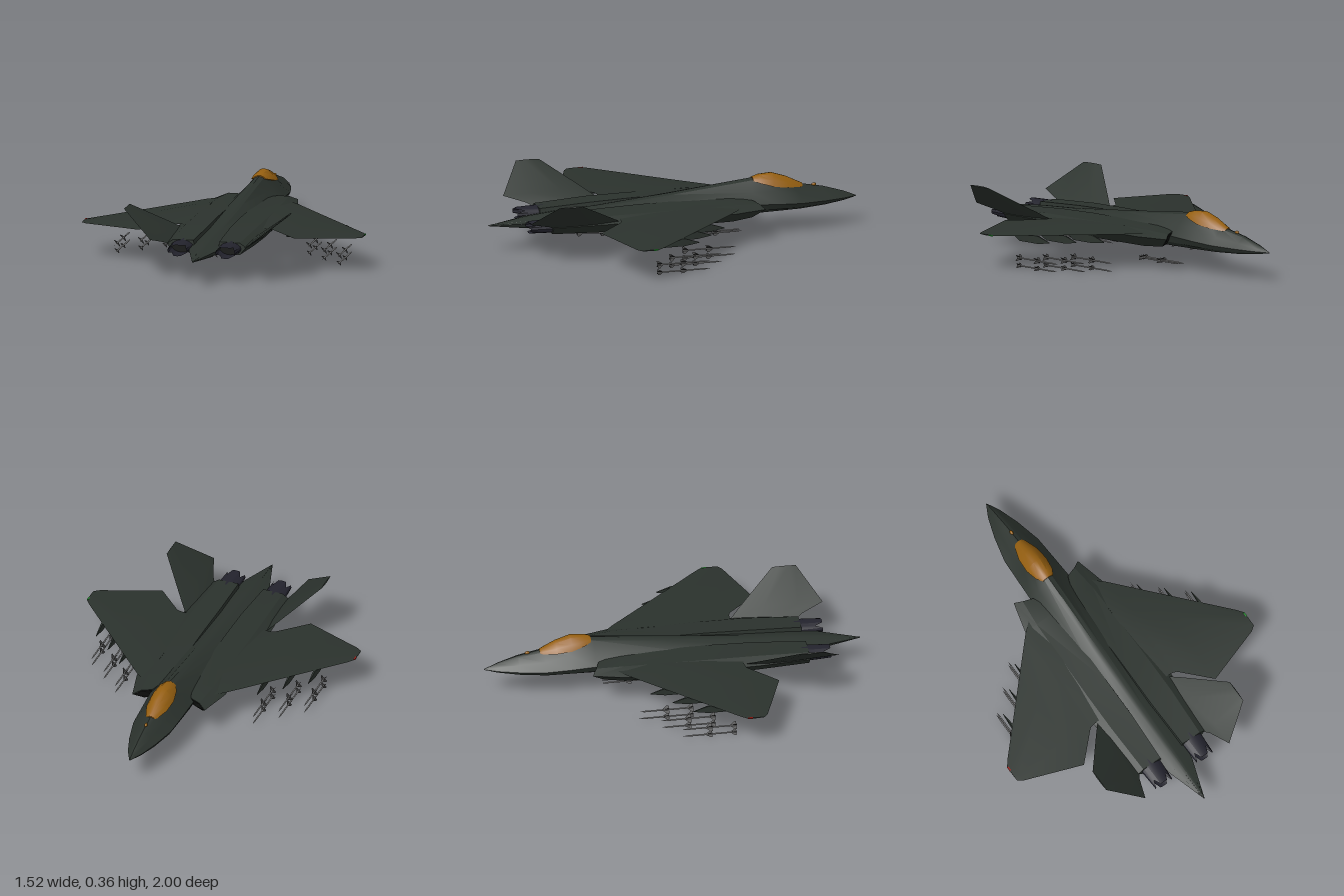
import * as THREE from 'three';
import { toCreasedNormals } from 'three/addons/utils/BufferGeometryUtils.js';

const mat = (color, side = THREE.FrontSide) => new THREE.MeshStandardMaterial({ color, side });
const skin = mat(0x2b322d);
const dark = mat(0x111311, THREE.DoubleSide);
const nozzleMat = mat(0x23232d, THREE.DoubleSide);
const amber = mat(0x955f10);
const steel = mat(0x8c8c8c);
const finMat = mat(0x333333, THREE.DoubleSide);

function add(parent, name, geometry, material, x = 0, y = 0, z = 0) {
  const m = new THREE.Mesh(geometry, material);
  m.name = name;
  m.position.set(x, y, z);
  parent.add(m);
  return m;
}

// Closed skin over a row of equal-length rings; winding is fixed by signed volume.
function loft(rings, crease = 0.45) {
  const n = rings[0].length, pos = rings.flat(2), idx = [];
  for (let r = 0; r < rings.length - 1; r++)
    for (let i = 0; i < n; i++) {
      const a = r * n + i, b = r * n + (i + 1) % n;
      idx.push(a, b, b + n, a, b + n, a + n);
    }
  const last = (rings.length - 1) * n;
  for (let i = 1; i < n - 1; i++) idx.push(0, i + 1, i, last, last + i, last + i + 1);
  const v = (i) => new THREE.Vector3().fromArray(pos, i * 3);
  let vol = 0;
  for (let i = 0; i < idx.length; i += 3) vol += v(idx[i]).dot(v(idx[i + 1]).cross(v(idx[i + 2])));
  if (vol < 0) idx.reverse();
  const g = new THREE.BufferGeometry();
  g.setAttribute('position', new THREE.Float32BufferAttribute(pos, 3));
  g.setIndex(idx);
  return toCreasedNormals(g, crease);
}

// Full ring at z from its +x half, listed bottom centre to top centre.
const mirrorRing = (half, z) => [
  ...half.map(([x, y]) => [x, y, z]),
  ...half.slice(1, -1).reverse().map(([x, y]) => [-x, y, z]),
];

// Wing or fin from stations [x, y, zFront, zBack, thickness] with a thickness direction.
function panel(side, stations, nx, ny) {
  const outline = [[0, 0], [0.3, 1], [0.7, 0.8], [1, 0.08], [0.7, -0.8], [0.3, -1]];
  return loft(stations.map(([x, y, z0, z1, t]) => outline.map(([u, h]) =>
    [side * (x + nx * h * t / 2), y + ny * h * t / 2, z0 + (z1 - z0) * u])), 0.3);
}

// Slender missile pointing to -z, origin at its tail.
function missile(name, x, y, z, arm, tilt = 0, length = 0.29) {
  const g = new THREE.Group();
  g.name = name;
  const r = 0.004;
  add(g, 'missileBody', new THREE.CylinderGeometry(r, r, length - 0.03, 10).rotateX(-Math.PI / 2), steel, 0, 0, -(length - 0.03) / 2);
  add(g, 'missileNose', new THREE.ConeGeometry(r, 0.03, 10).rotateX(-Math.PI / 2), steel, 0, 0, -length + 0.015);
  const fin = (root, chord) => new THREE.ShapeGeometry(new THREE.Shape([
    new THREE.Vector2(0, 0), new THREE.Vector2(arm, 0),
    new THREE.Vector2(arm, chord * 0.3), new THREE.Vector2(0, chord),
  ])).rotateX(-Math.PI / 2).translate(0, 0, -root);
  for (const [root, chord] of [[0.002, 0.035], [0.13, 0.04]])
    for (let k = 0; k < 4; k++) {
      const f = add(g, 'missileFin', fin(root, chord), finMat);
      f.rotation.z = Math.PI / 4 + k * Math.PI / 2;
    }
  g.position.set(x, y, z);
  g.rotation.x = tilt;
  return g;
}

export function createModel() {
  const model = new THREE.Group();
  model.name = 'jet';

  // Chined fuselage: z, half width, chine height, top, bottom
  const body = [
    [-1, 0.002, 0.155, 0.157, 0.153], [-0.93, 0.038, 0.158, 0.187, 0.143],
    [-0.82, 0.075, 0.162, 0.222, 0.133], [-0.68, 0.108, 0.168, 0.25, 0.128],
    [-0.55, 0.115, 0.175, 0.312, 0.126], [-0.42, 0.121, 0.185, 0.299, 0.125],
    [0, 0.12, 0.188, 0.253, 0.123], [0.4, 0.1, 0.185, 0.213, 0.125],
    [0.62, 0.085, 0.178, 0.2, 0.128], [0.78, 0.074, 0.166, 0.185, 0.132],
    [1, 0.002, 0.151, 0.153, 0.149],
  ];
  add(model, 'fuselage', loft(body.map(([z, w, e, t, b]) => mirrorRing([
    [0, b], [w * 0.6, b], [w * 0.88, b + (e - b) * 0.4], [w, e],
    [w * 0.6, e + (t - e) * 0.45], [w * 0.2, e + (t - e) * 0.92], [0, t],
  ], z))), skin);

  // Canopy: z, half width, sill height, top
  const canopy = [
    [-0.705, 0.022, 0.236, 0.249], [-0.69, 0.034, 0.237, 0.256], [-0.62, 0.058, 0.245, 0.292],
    [-0.54, 0.064, 0.257, 0.319], [-0.47, 0.052, 0.277, 0.314], [-0.435, 0.033, 0.287, 0.304],
  ];
  add(model, 'canopy', loft(canopy.map(([z, w, s, t]) => mirrorRing([
    [0, s - 0.01], [w, s], [w * 0.76, s + (t - s) * 0.5], [w * 0.32, s + (t - s) * 0.93], [0, t],
  ], z)), 0.6), amber);
  add(model, 'noseSensor', new THREE.SphereGeometry(0.009, 12, 8).scale(0.9, 1, 1.5), amber, 0, 0.235, -0.77);
  add(model, 'bellySensor', new THREE.ConeGeometry(0.018, 0.03, 8).rotateX(Math.PI).scale(1, 1, 2), skin, -0.1, 0.117, 0);

  for (const s of [1, -1]) {
    const side = new THREE.Group();
    side.name = s > 0 ? 'leftSide' : 'rightSide';
    model.add(side);

    // Intake and engine nacelle with a raked mouth
    const ring = (z, pts) => pts.map(([x, y, dz = 0]) => [s * x, y, z + dz]);
    const mouth = [[0.1, 0.135, 0.08], [0.165, 0.133, 0.05], [0.205, 0.183, -0.015], [0.165, 0.203, 0.01], [0.11, 0.208, 0.03]];
    add(side, 'nacelle', loft([
      ring(-0.44, mouth),
      ring(-0.28, [[0.05, 0.125], [0.185, 0.125], [0.25, 0.184], [0.18, 0.212], [0.06, 0.222]]),
      ring(0.2, [[0.04, 0.123], [0.195, 0.125], [0.25, 0.184], [0.19, 0.213], [0.06, 0.222]]),
      ring(0.42, [[0.04, 0.125], [0.19, 0.126], [0.245, 0.182], [0.19, 0.211], [0.06, 0.216]]),
      ring(0.7, [[0.06, 0.134], [0.18, 0.134], [0.215, 0.175], [0.18, 0.198], [0.07, 0.2]]),
    ], 0.3), skin);
    const cx = 0.15, cy = 0.172;
    add(side, 'intakeMouth', loft([-0.442, -0.435].map((z) =>
      ring(z, mouth.map(([x, y, d]) => [cx + (x - cx) * 0.84, cy + (y - cy) * 0.84, d * 0.84 + 0.004]))), 0.3), dark);

    // Nozzle with a saw-tooth rim
    const noz = new THREE.CylinderGeometry(0.052, 0.06, 0.15, 16, 1, true).rotateX(Math.PI / 2).scale(1, 0.58, 1);
    const p = noz.attributes.position;
    for (let i = 0; i < p.count; i++)
      if (p.getZ(i) > 0 && (i % 17) % 4 === 2) p.setZ(i, 0.035);
    const nozzle = add(side, 'nozzle', toCreasedNormals(noz, 0.3), nozzleMat, s * 0.13, 0.166, 0.742);
    add(nozzle, 'turbineFace', new THREE.CircleGeometry(0.055, 16).scale(1, 0.58, 1), dark, 0, 0, -0.035);

    // Wing and canted tail fin
    add(side, 'wing', panel(s, [
      [0.18, 0.199, -0.34, 0.34, 0.03], [0.25, 0.198, -0.28, 0.345, 0.027], [0.275, 0.197, -0.253, 0.352, 0.026],
      [0.42, 0.193, -0.095, 0.5, 0.02], [0.73, 0.186, 0.243, 0.388, 0.008], [0.757, 0.186, 0.278, 0.368, 0.005],
    ], 0, 1), skin);
    add(side, 'tailFin', panel(s, [
      [0.205, 0.172, 0.32, 0.7, 0.014], [0.225, 0.188, 0.345, 0.73, 0.014],
      [0.268, 0.222, 0.395, 0.845, 0.013], [0.438, 0.355, 0.605, 0.73, 0.007],
    ], -0.62, 0.79), skin);
    add(side, 'wingtipLight', new THREE.BoxGeometry(0.008, 0.006, 0.025), mat(s > 0 ? 0x1f8a2a : 0xa01a14), s * 0.754, 0.186, 0.292);
    add(side, 'flapFairing', new THREE.SphereGeometry(0.013, 10, 8).scale(0.9, 1, 8), skin, s * 0.36, 0.178, 0.3);

    // Pylons with two missiles below each
    for (const [x, tip] of [[0.39, -0.24], [0.495, -0.14], [0.6, -0.045]]) {
      const blade = (z, w, top, bottom) => [[-w, top], [w, top], [w, bottom], [-w, bottom]].map(([a, y]) => [s * x + a, y, z]);
      add(side, 'pylon', loft([
        blade(tip + 0.06, 0.001, 0.161, 0.158), blade(tip + 0.14, 0.005, 0.187, 0.146),
        blade(tip + 0.27, 0.005, 0.187, 0.146), blade(tip + 0.33, 0.001, 0.187, 0.178),
      ]), skin);
      side.add(missile('upperWingMissile', s * x, 0.054, tip + 0.29, 0.022));
      side.add(missile('lowerWingMissile', s * x, 0.0125, tip + 0.29, 0.0165));
    }
    side.add(missile('frontBayMissile', s * 0.015, 0.0165, -0.09, 0.0165));
  }

  // Two rows of nose-down missiles under the weapons bay
  for (const x of [-0.047, 0, 0.047]) {
    model.add(missile('rearBayMissile', x, 0.089, 0.53, 0.022, -0.08));
    model.add(missile('midBayMissile', x, 0.097, 0.36, 0.022, -0.08));
  }
  return model;
}
